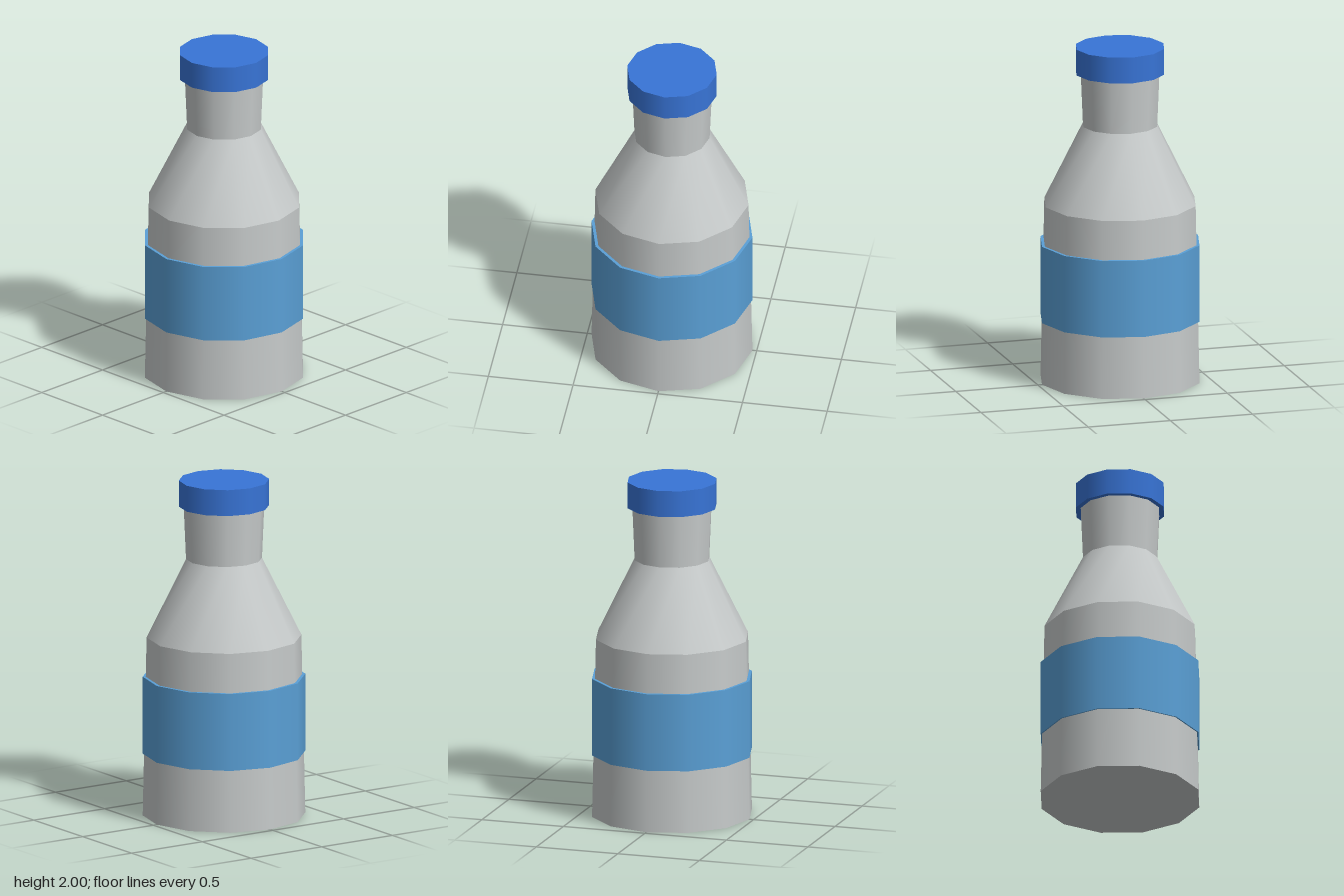
import * as THREE from 'three';

const SIDES = 12;

function material(name, color) {
  const m = new THREE.MeshStandardMaterial({ color });
  m.name = name;
  return m;
}

// One twelve-sided section standing between two heights, smooth around its side
function section(name, mat, rBottom, rTop, y0, y1) {
  const geo = new THREE.CylinderGeometry(rTop, rBottom, y1 - y0, SIDES);
  geo.translate(0, (y0 + y1) / 2, 0);
  const mesh = new THREE.Mesh(geo, mat);
  mesh.name = name;
  return mesh;
}

export function createModel() {
  const grey = material('bottle grey', 0xc6caca);
  const lightBlue = material('label blue', 0x5aa0d6);
  const blue = material('cap blue', 0x3874d6);

  const bottle = new THREE.Group();
  bottle.name = 'bottle';
  bottle.add(
    // Gently tapered body, sloped shoulder and slightly flared neck
    section('body', grey, 0.475, 0.452, 0, 1.065),
    section('shoulder', grey, 0.452, 0.222, 1.065, 1.53),
    section('neck', grey, 0.222, 0.236, 1.53, 1.86),
    // Raised label band and screw cap
    section('labelBand', lightBlue, 0.475, 0.475, 0.37, 0.83),
    section('cap', blue, 0.264, 0.264, 1.845, 2)
  );
  return bottle;
}
